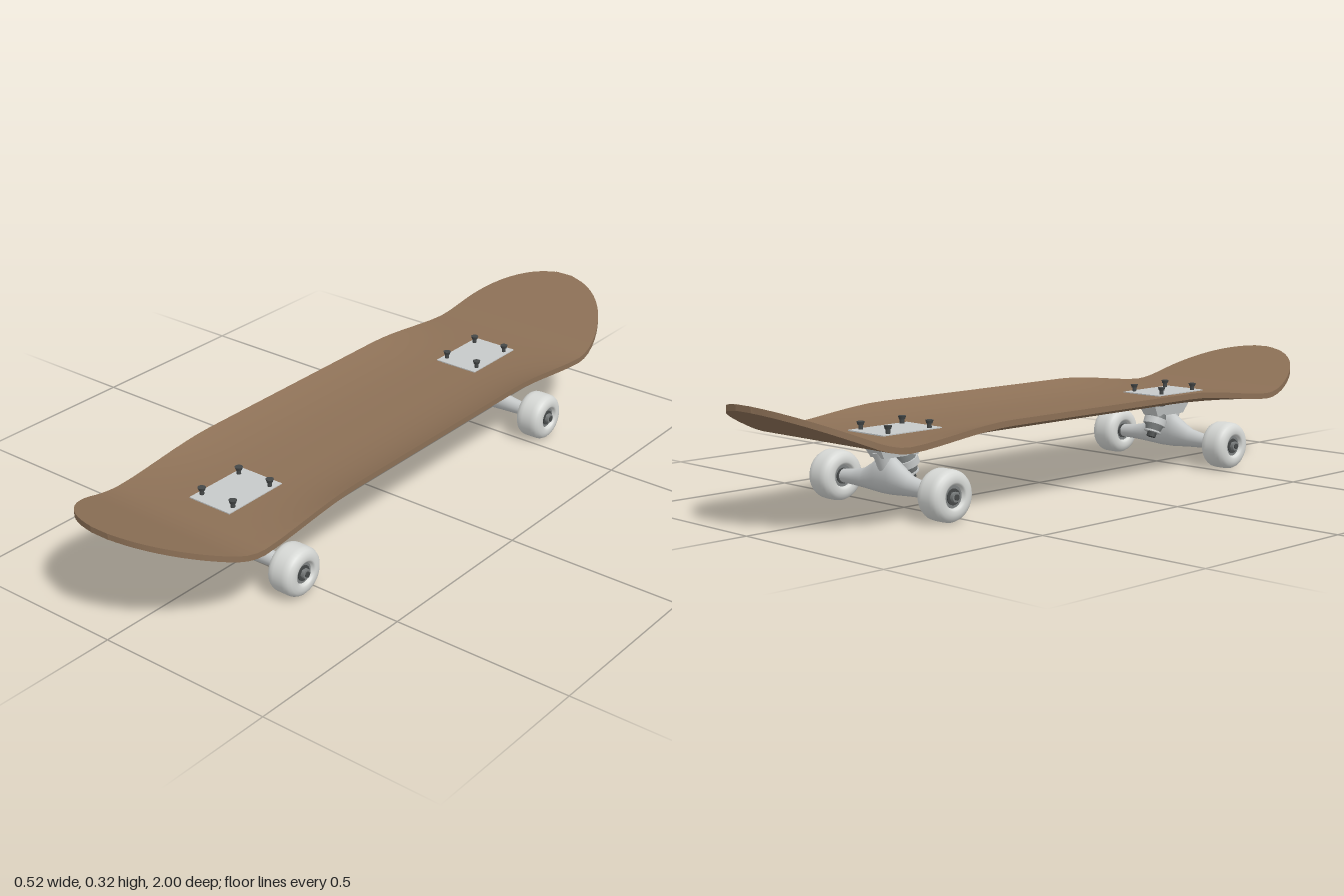
import * as THREE from 'three';

const mat = (name, color, side = THREE.FrontSide) => {
  const m = new THREE.MeshStandardMaterial({ color, side });
  m.name = name;
  return m;
};

// grid of points (rows of [x, y, z]) turned into a surface
function gridGeometry(rows, flip = false) {
  const n = rows[0].length, index = [];
  for (let i = 0; i < rows.length - 1; i++) {
    for (let j = 0; j < n - 1; j++) {
      const a = i * n + j, b = a + 1, c = a + n, d = c + 1;
      if (flip) index.push(a, b, c, b, d, c);
      else index.push(a, c, b, b, c, d);
    }
  }
  const g = new THREE.BufferGeometry();
  g.setAttribute('position', new THREE.Float32BufferAttribute(rows.flat(2), 3));
  g.setIndex(index);
  g.computeVertexNormals();
  return g;
}

// deck height: flat middle with raised sides, ends kicked up
const BOTTOM = 0.19, THICK = 0.016;
function deckPoint(u, z, top) {
  const az = Math.abs(z), d = Math.max(0, az - 0.68), slope = z > 0 ? 0.39 : 0.42;
  const kick = d < 0.12 ? slope * d * d / 0.24 : slope * (d - 0.06);
  const e = Math.max(0, (az - 0.7) / 0.3);
  const halfWidth = Math.max(0.252 * Math.sqrt(Math.max(0, 1 - e * e)), 0.03);
  const dish = 0.033 * (1 - THREE.MathUtils.smoothstep(az, 0.35, 0.75)) * Math.abs(u) ** 3;
  return [u * halfWidth, BOTTOM + kick + dish + (top ? THICK : 0), z];
}

function buildDeck(wood) {
  const deck = new THREE.Group();
  deck.name = 'deck';
  const zs = [], us = [];
  for (let i = 0; i <= 16; i++) zs.push(-0.7 - 0.3 * Math.cos(i / 16 * Math.PI / 2));
  for (let i = 1; i < 28; i++) zs.push(-0.7 + 1.4 * i / 28);
  for (let i = 0; i <= 16; i++) zs.push(0.7 + 0.3 * Math.sin(i / 16 * Math.PI / 2));
  for (let i = 0; i <= 24; i++) us.push(-1 + i / 12);
  const surface = (top) => zs.map((z) => us.map((u) => deckPoint(u, z, top)));

  // rim follows the border of the grid once around
  const border = [
    ...zs.map((z) => [1, z]),
    ...us.slice(0, -1).reverse().map((u) => [u, 1]),
    ...zs.slice(0, -1).reverse().map((z) => [-1, z]),
    ...us.slice(1).map((u) => [u, -1]),
  ];
  const rim = [true, false].map((top) => border.map(([u, z]) => deckPoint(u, z, top)));
  const parts = {
    deckTop: gridGeometry(surface(true)),
    deckUnderside: gridGeometry(surface(false), true),
    deckRim: gridGeometry(rim, true),
  };
  for (const [name, geo] of Object.entries(parts)) {
    const m = new THREE.Mesh(geo, wood);
    m.name = name;
    deck.add(m);
  }
  return deck;
}

// one truck with wheels, its kingpin on the -z side
function buildTruck(metal, urethane, steel, dark) {
  const truck = new THREE.Group();
  const add = (name, geo, material, x = 0, y = 0, z = 0, parent = truck) => {
    const m = new THREE.Mesh(geo, material);
    m.name = name;
    m.position.set(x, y, z);
    parent.add(m);
    return m;
  };

  // mounting plate and bolts
  add('basePlate', new THREE.BoxGeometry(0.136, 0.026, 0.2), metal, 0, 0.196, -0.025);
  for (const x of [-0.053, 0.053]) {
    for (const z of [-0.095, 0.045]) {
      add('bolt', new THREE.CylinderGeometry(0.006, 0.006, 0.05, 10), dark, x, 0.2, z);
      add('boltHead', new THREE.CylinderGeometry(0.011, 0.008, 0.009, 14), dark, x, 0.225, z);
      add('boltNut', new THREE.CylinderGeometry(0.011, 0.011, 0.008, 6), dark, x, 0.179, z);
    }
  }

  // tapered base below the plate
  const base = new THREE.BoxGeometry(0.07, 0.045, 0.17);
  const p = base.attributes.position;
  for (let i = 0; i < p.count; i++) {
    if (p.getY(i) < 0) p.setXYZ(i, p.getX(i) * 0.75, p.getY(i), p.getZ(i) * 0.68);
  }
  base.computeVertexNormals();
  add('base', base, metal, 0, 0.162, -0.022);

  // pivot arm from the base down to the hanger
  const pivot = add('pivot', new THREE.CylinderGeometry(0.024, 0.018, 0.06, 20), metal, 0, 0.13, 0.015);
  pivot.rotation.x = 0.3;

  // hanger: [x, bottom, top, half depth]
  const half = [
    [0.176, 0.05, 0.087, 0.018], [0.13, 0.049, 0.092, 0.02], [0.09, 0.047, 0.1, 0.022],
    [0.06, 0.045, 0.116, 0.025], [0.035, 0.043, 0.132, 0.027], [0.02, 0.042, 0.141, 0.028],
  ];
  const sections = [
    ...half.map(([x, ...r]) => [-x, ...r]), [0, 0.042, 0.143, 0.028], ...half.slice().reverse(),
  ];
  const rows = sections.map(([x, lo, hi, depth]) => Array.from({ length: 25 }, (_, j) => {
    const a = j / 24 * Math.PI * 2;
    return [x, (lo + hi) / 2 + Math.cos(a) * (hi - lo) / 2, Math.sin(a) * depth];
  }));
  add('hanger', gridGeometry(rows, true), metal);

  // tilted kingpin with its bushings
  const kingpin = new THREE.Group();
  kingpin.name = 'kingpin';
  kingpin.position.set(0, 0.117, -0.062);
  kingpin.rotation.x = 0.4;
  truck.add(kingpin);
  const stack = [
    ['upperBushing', 0.026, 0.03, 0.022, 0.024, steel], ['hangerRing', 0.034, 0.034, 0.02, 0.003, metal],
    ['lowerBushing', 0.028, 0.022, 0.018, -0.016, steel], ['washer', 0.025, 0.025, 0.005, -0.0275, metal],
    ['kingpinNut', 0.014, 0.014, 0.014, -0.037, dark],
  ];
  for (const [name, r1, r2, h, y, material] of stack) {
    add(name, new THREE.CylinderGeometry(r1, r2, h, name === 'kingpinNut' ? 6 : 24), material, 0, y, 0, kingpin);
  }

  // axle and wheels
  const axle = add('axle', new THREE.CylinderGeometry(0.008, 0.008, 0.516, 12), dark, 0, 0.067, 0);
  axle.rotation.z = -Math.PI / 2;
  const side = [[0.028, 0.026], [0.032, 0.038], [0.037, 0.0405], [0.046, 0.0405], [0.055, 0.038],
    [0.062, 0.032], [0.066, 0.024], [0.067, 0.014]];
  const profile = [
    ...side.map(([r, h]) => new THREE.Vector2(r, -h)),
    ...side.slice().reverse().map(([r, h]) => new THREE.Vector2(r, h)),
  ];
  for (const s of [-1, 1]) {
    const wheel = new THREE.Group();
    wheel.name = s > 0 ? 'leftWheel' : 'rightWheel';
    wheel.position.set(s * 0.2125, 0.067, 0);
    wheel.rotation.z = -s * Math.PI / 2;
    truck.add(wheel);
    add('tyre', new THREE.LatheGeometry(profile, 40), urethane, 0, 0, 0, wheel);
    add('bearing', new THREE.CylinderGeometry(0.029, 0.029, 0.06, 24), steel, 0, 0, 0, wheel);
    add('bearingShield', new THREE.CylinderGeometry(0.021, 0.021, 0.066, 24), dark, 0, 0, 0, wheel);
    add('axleNut', new THREE.CylinderGeometry(0.014, 0.014, 0.012, 6), steel, 0, 0.037, 0, wheel);
  }
  return truck;
}

export function createModel() {
  const wood = mat('brown wood', 0x8c7056, THREE.DoubleSide);
  const metal = mat('light metal', 0xc6c9c9);
  const urethane = mat('off-white urethane', 0xd6d8d5);
  const steel = mat('grey steel', 0x7c8080);
  const dark = mat('dark steel', 0x454848);

  const model = new THREE.Group();
  model.name = 'skateboard';
  model.add(buildDeck(wood));
  for (const s of [1, -1]) {
    const truck = buildTruck(metal, urethane, steel, dark);
    truck.name = s > 0 ? 'frontTruck' : 'rearTruck';
    truck.position.z = s * 0.552;
    if (s < 0) truck.rotation.y = Math.PI;
    model.add(truck);
  }
  return model;
}
